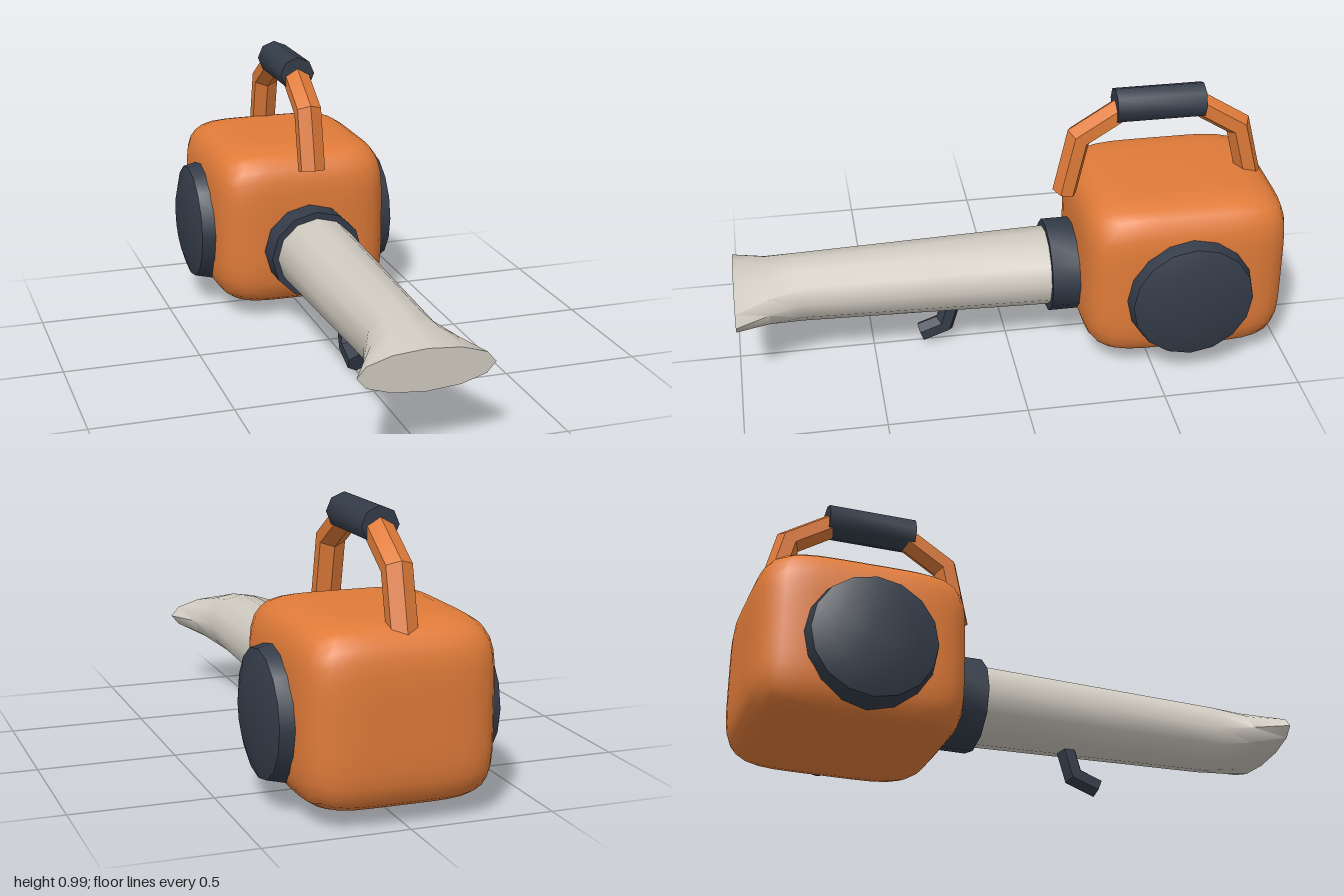
import * as THREE from 'three';
import { mergeVertices, toCreasedNormals } from 'three/addons/utils/BufferGeometryUtils.js';

// Sweep an n-sided elliptical section along stations [y, z, halfWidth, halfDepth] with mitred bends.
function sweep(stations, n, crease) {
  const pos = [], idx = [];
  const last = stations.length - 1;
  const heading = (i) => new THREE.Vector2(
    stations[i + 1][1] - stations[i][1], stations[i + 1][0] - stations[i][0]).normalize();
  stations.forEach(([y, z, a, b], i) => {
    const before = heading(Math.max(i - 1, 0)), after = heading(Math.min(i, last - 1));
    const d = before.clone().add(after).normalize();
    const miter = b / d.dot(after);
    for (let k = 0; k < n; k++) {
      const t = Math.PI / 2 + (k / n) * Math.PI * 2;
      const up = Math.sin(t) * miter;
      pos.push(Math.cos(t) * a, y + d.x * up, z - d.y * up);
    }
  });
  for (let i = 0; i < last; i++) {
    for (let k = 0; k < n; k++) {
      const p = i * n + k, q = i * n + (k + 1) % n;
      idx.push(p, q, q + n, p, q + n, p + n);
    }
  }
  // end caps
  const c = pos.length / 3;
  pos.push(0, stations[0][0], stations[0][1], 0, stations[last][0], stations[last][1]);
  for (let k = 0; k < n; k++) {
    const m = (k + 1) % n;
    idx.push(c, m, k, c + 1, last * n + k, last * n + m);
  }
  const g = new THREE.BufferGeometry();
  g.setAttribute('position', new THREE.Float32BufferAttribute(pos, 3));
  g.setIndex(idx);
  return toCreasedNormals(g, crease);
}

// Box with softly bulging faces and rounded corners
function softBox(hx, hy, hz, power) {
  let g = new THREE.BoxGeometry(2, 2, 2, 12, 12, 12);
  g.deleteAttribute('normal');
  g.deleteAttribute('uv');
  g = mergeVertices(g);
  const p = g.attributes.position, v = new THREE.Vector3();
  for (let i = 0; i < p.count; i++) {
    v.fromBufferAttribute(p, i);
    const sum = Math.abs(v.x) ** power + Math.abs(v.y) ** power + Math.abs(v.z) ** power;
    v.multiplyScalar(sum ** (-1 / power));
    p.setXYZ(i, v.x * hx, v.y * hy, v.z * hz);
  }
  g.computeVertexNormals();
  return g;
}

export function createModel() {
  const model = new THREE.Group();
  model.name = 'leafBlower';
  const material = (name, color) => {
    const m = new THREE.MeshStandardMaterial({ color });
    m.name = name;
    return m;
  };
  const orange = material('orange', 0xe07b39);
  const dark = material('darkSlate', 0x343c49);
  const pale = material('paleGrey', 0xcfcac0);
  const add = (name, geometry, mat) => {
    const mesh = new THREE.Mesh(geometry, mat);
    mesh.name = name;
    model.add(mesh);
    return mesh;
  };

  // Motor housing
  add('housing', softBox(0.34, 0.312, 0.375, 5.3), orange).position.set(0, 0.353, -0.625);

  // Domed side covers
  const cover = [[0.28, 0.236], [0.32, 0.234], [0.384, 0.219], [0.408, 0.145], [0.415, 0.01]];
  for (const side of [1, -1]) {
    const g = sweep(cover.map(([z, r]) => [0, z, r, r]), 16, 0.6);
    g.rotateY(side * Math.PI / 2);
    add(side > 0 ? 'leftCover' : 'rightCover', g, dark).position.set(0, 0.32, -0.62);
  }

  // Collar and flared blower nozzle
  add('collar', sweep([[0.29, -0.32, 0.177, 0.17], [0.29, -0.15, 0.177, 0.17]], 12, 0.7), dark);
  add('nozzle', sweep([
    [0.29, -0.2, 0.155, 0.146],
    [0.29, 0.3, 0.142, 0.134],
    [0.29, 0.76, 0.13, 0.123],
    [0.29, 0.88, 0.172, 0.103],
    [0.29, 1.0, 0.236, 0.073],
  ], 12, 0.8), pale);

  // Bent support foot under the nozzle
  add('foot', sweep([[0.2, 0.195], [0.073, 0.232], [0.04, 0.322]]
    .map(([y, z]) => [y, z, 0.039, 0.037]), 6, 0.6), dark);

  // Carrying handle with grip
  add('handle', sweep([
    [0.603, -0.219], [0.823, -0.267], [0.925, -0.43],
    [0.925, -0.695], [0.823, -0.857], [0.603, -0.913],
  ].map(([y, z]) => [y, z, 0.053, 0.045]), 6, 0.6), orange);
  add('grip', sweep([[0.936, -0.72, 0.066, 0.064], [0.936, -0.396, 0.066, 0.064]], 8, 0.85), dark);

  return model;
}
